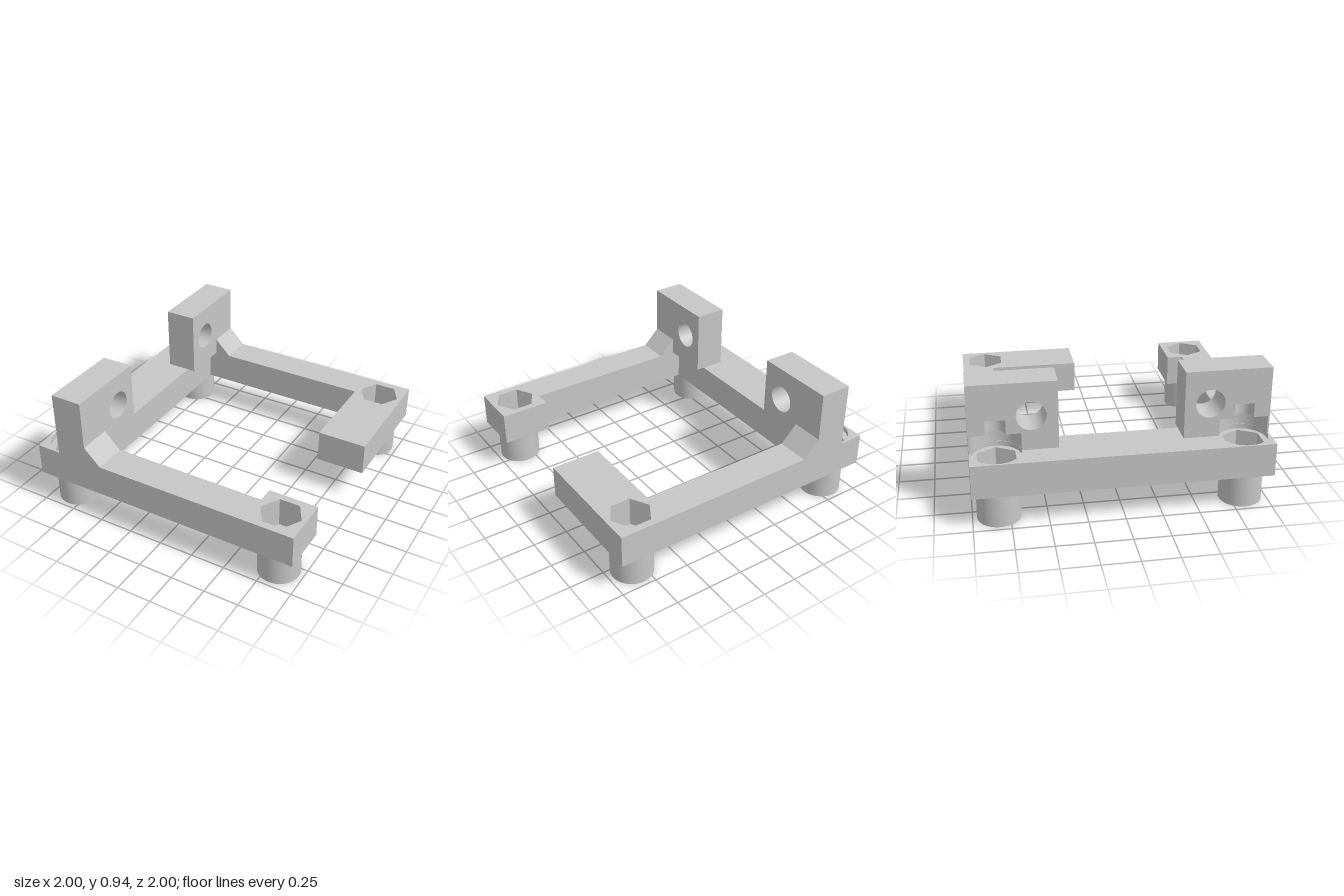
import * as THREE from 'three';
import { toCreasedNormals } from 'three/addons/utils/BufferGeometryUtils.js';

const BASE = 0.237, FLOOR = 0.26, RECESS = 0.435, TOP = 0.47;
const C = 0.823, BORE = 0.0675, POST = 0.147, HEAD = 0.165, HEX = 0.145;

export function createModel() {
  const model = new THREE.Group();
  model.name = 'mountingFrame';
  const grey = new THREE.MeshStandardMaterial({ color: 0xc6c6c6 });
  grey.name = 'grey';

  // points as vectors, always counter-clockwise so walls face the right way
  const loop = (list) => {
    const pts = list.map(([a, b]) => new THREE.Vector2(a, b));
    return THREE.ShapeUtils.isClockWise(pts) ? pts.reverse() : pts;
  };

  // points on a circle (or hexagon when n = 6)
  const ring = (cx, cy, r, n = 40) => Array.from({ length: n }, (_, i) => {
    const t = (i / n) * Math.PI * 2;
    return [cx + r * Math.cos(t), cy + r * Math.sin(t)];
  });

  function extrude(outline, holes, depth) {
    const shape = new THREE.Shape(loop(outline));
    shape.holes = holes.map((h) => new THREE.Path(loop(h)));
    return new THREE.ExtrudeGeometry(shape, { depth, bevelEnabled: false });
  }

  function add(parent, name, geometry) {
    const mesh = new THREE.Mesh(toCreasedNormals(geometry, 0.6), grey);
    mesh.name = name;
    parent.add(mesh);
  }

  // plan outline given as [x, z], raised from y0 to y1
  function slab(parent, name, outline, holes, y0, y1) {
    const flip = (pts) => pts.map(([x, z]) => [x, -z]);
    const g = extrude(flip(outline), holes.map(flip), y1 - y0);
    add(parent, name, g.rotateX(-Math.PI / 2).translate(0, y0, 0));
  }

  // open frame, layered so the nut pockets and head recesses have floors
  const plan = [
    [-1, -1], [1, -1], [1, -0.12], [0.648, -0.12], [0.648, -0.765], [-0.65, -0.765],
    [-0.65, 0.765], [0.648, 0.765], [0.648, 0.648], [1, 0.648], [1, 1], [-1, 1],
  ];
  const corners = [[-C, -C], [C, -C], [C, C], [-C, C]];
  const bores = corners.map(([x, z]) => ring(x, z, BORE));
  const hexes = corners.map(([x, z]) => ring(x, z, HEX, 6));
  const mouths = corners.map(([x, z]) => (x < 0 ? ring(x, z, HEAD) : ring(x, z, HEX, 6)));
  const frame = new THREE.Group();
  frame.name = 'frame';
  model.add(frame);
  slab(frame, 'frameFloor', plan, bores, BASE, FLOOR);
  slab(frame, 'framePockets', plan, hexes, FLOOR, RECESS);
  slab(frame, 'frameTop', plan, mouths, RECESS, TOP);

  // hollow round feet
  corners.forEach(([x, z], i) => slab(model, 'foot', ring(x, z, POST, 48), [bores[i]], 0, BASE));

  // uprights on the left bar, mirrored front to back
  const X0 = -0.82, X1 = -0.59;
  for (const s of [1, -1]) {
    const upright = new THREE.Group();
    upright.name = s > 0 ? 'frontUpright' : 'backUpright';
    model.add(upright);

    // rectangle with a half-round screw clearance in its outer face
    const notched = (z0, z1, r) => {
      const arc = Array.from({ length: 21 }, (_, i) => {
        const t = (i / 20) * Math.PI;
        return [X0 + r * Math.sin(t), s * (C - r * Math.cos(t))];
      });
      return [[X0, s * z0], ...arc, [X0, s * z1], [X1, s * z1], [X1, s * z0]];
    };
    slab(upright, 'uprightFoot', notched(0.415, 1, HEAD), [], TOP, 0.59);
    slab(upright, 'uprightSlot', notched(0.72, 1, BORE), [], 0.59, 0.69);
    slab(upright, 'uprightCap', [[X0, s * 0.72], [X0, s], [X1, s], [X1, s * 0.72]], [], 0.69, 0.94);

    // eye block with the cross hole along x
    const eye = extrude(
      [[-s * 0.415, 0.59], [-s * 0.72, 0.59], [-s * 0.72, 0.94], [-s * 0.415, 0.94]],
      [ring(-s * 0.59, 0.708, 0.099, 48)], X1 - X0);
    add(upright, 'uprightEye', eye.rotateY(Math.PI / 2).translate(X0, 0, 0));

    // sloped brace between upright and side bar
    const brace = extrude([[X1, TOP], [-0.47, TOP], [X1, 0.59]], [], 0.235);
    add(upright, 'brace', brace.translate(0, 0, s > 0 ? 0.765 : -1));
  }
  return model;
}
